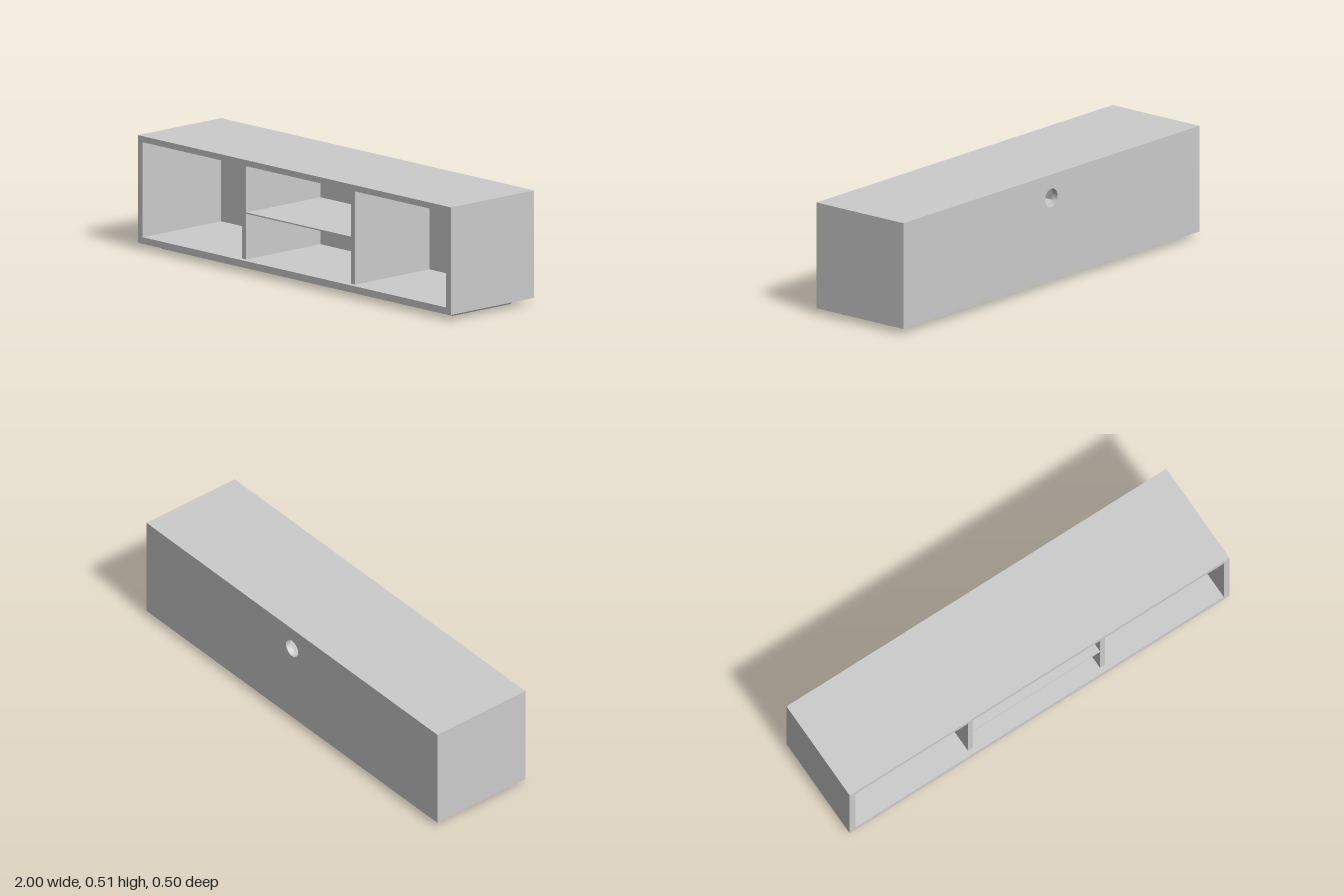
import * as THREE from 'three';

const material = new THREE.MeshStandardMaterial({ color: 0xcccccc });

// Rectangle outline, counter-clockwise
function trace(path, x, y0, y1) {
  path.moveTo(-x, y0);
  path.lineTo(x, y0);
  path.lineTo(x, y1);
  path.lineTo(-x, y1);
  path.closePath();
  return path;
}

export function createModel() {
  const group = new THREE.Group();

  function add(name, geometry, x = 0, y = 0, z = 0) {
    const mesh = new THREE.Mesh(geometry, material);
    mesh.name = name;
    mesh.position.set(x, y, z);
    group.add(mesh);
  }
  const extrude = (shape, depth) =>
    new THREE.ExtrudeGeometry(shape, { depth, bevelEnabled: false, curveSegments: 24 });

  // Open box: top, bottom and both sides in one frame
  const frame = trace(new THREE.Shape(), 1, 0.027, 0.51);
  frame.holes.push(trace(new THREE.Path(), 0.97, 0.056, 0.483));
  add('cabinetFrame', extrude(frame, 0.5), 0, 0, -0.25);

  // Back panel with a round cable hole
  const back = trace(new THREE.Shape(), 0.97, 0.056, 0.483);
  const cableHole = new THREE.Path();
  cableHole.absarc(0, 0.403, 0.042, 0, Math.PI * 2, true);
  back.holes.push(cableHole);
  add('backPanel', extrude(back, 0.028), 0, 0, -0.25);

  // Two upright dividers, set slightly behind the front edge
  for (const side of [-1, 1]) {
    add(side > 0 ? 'leftDivider' : 'rightDivider',
      new THREE.BoxGeometry(0.026, 0.427, 0.447), side * 0.348, 0.2695, 0.0015);
  }

  // Thin shelf in the middle bay
  add('middleShelf', new THREE.BoxGeometry(0.67, 0.006, 0.447), 0, 0.264, 0.0015);

  // Recessed plinth with ends that slope inward to the floor
  const plinth = new THREE.Shape();
  plinth.moveTo(-0.93, 0);
  plinth.lineTo(0.93, 0);
  plinth.lineTo(0.95, 0.027);
  plinth.lineTo(-0.95, 0.027);
  plinth.closePath();
  add('plinth', extrude(plinth, 0.35), 0, 0, -0.175);

  return group;
}
